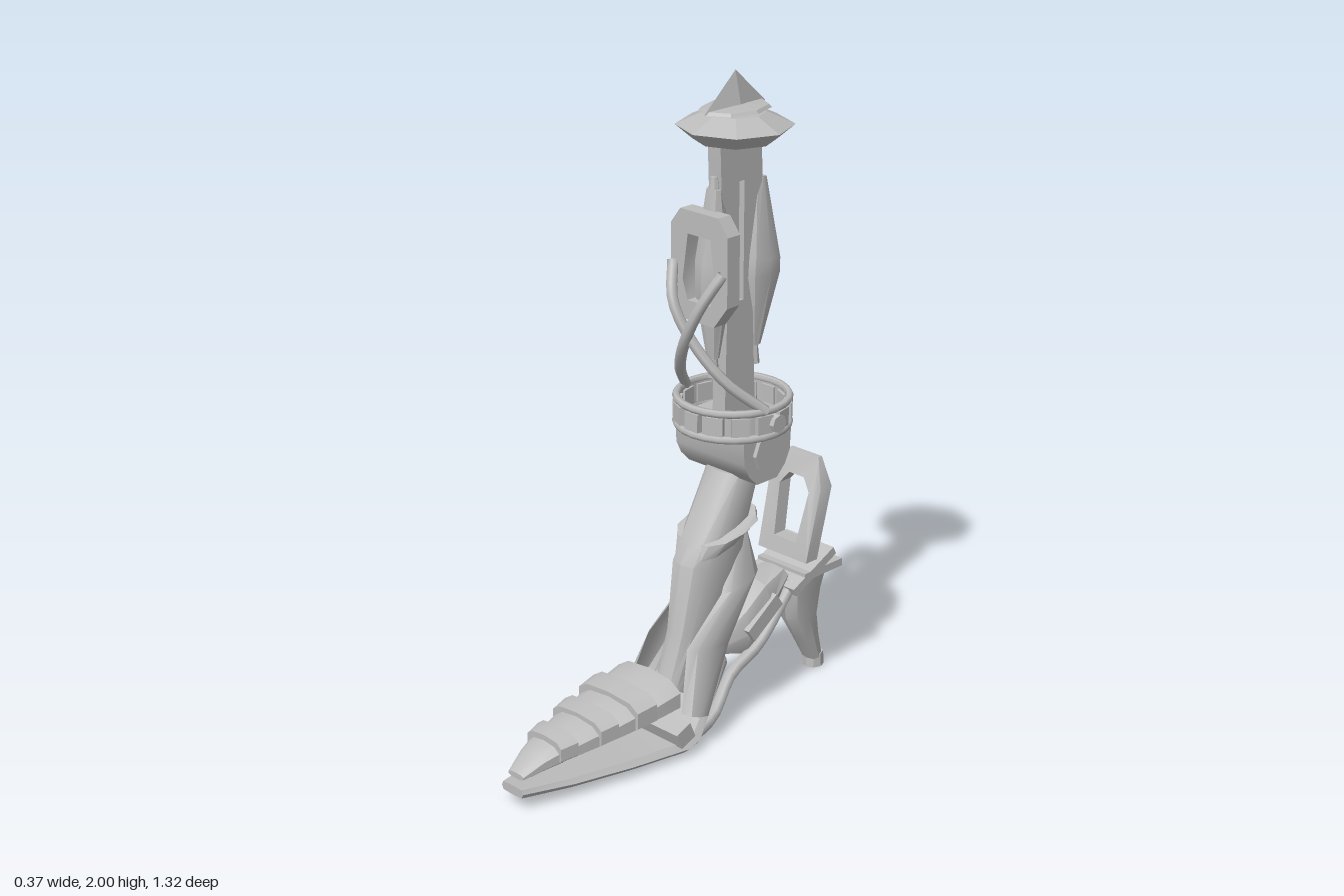
import * as THREE from 'three';
import { toCreasedNormals } from 'three/addons/utils/BufferGeometryUtils.js';

const grey = new THREE.MeshStandardMaterial({ color: 0xbcbcbc, side: THREE.DoubleSide });
grey.name = 'plain grey';

export function createModel() {
  const model = new THREE.Group();
  model.name = 'mechanicalLeg';

  const add = (name, geo, x = 0, y = 0, z = 0, crease = 0.6) => {
    const m = new THREE.Mesh(toCreasedNormals(geo, crease), grey);
    m.name = name;
    m.position.set(x, y, z);
    model.add(m);
    return m;
  };

  // Skin over rows [z1, y1, z2, y2, halfWidth]; e: 1 = round, near 0 = boxy; arc < 1 leaves the first edge open
  const loft = (name, rows, { n = 10, e = 0.8, arc = 1 } = {}) => {
    const pos = [], idx = [], open = arc < 1, cols = open ? n + 1 : n;
    const pw = v => (Math.abs(v) < 1e-6 ? 0 : Math.sign(v) * Math.pow(Math.abs(v), e));
    for (const [z1, y1, z2, y2, w] of rows) {
      for (let i = 0; i < cols; i++) {
        const a = Math.PI * (1 - arc) + (i / n) * Math.PI * 2 * arc;
        const c = pw(Math.cos(a)), s = pw(Math.sin(a));
        pos.push(s * w, (y1 + y2) / 2 + c * (y1 - y2) / 2, (z1 + z2) / 2 + c * (z1 - z2) / 2);
      }
    }
    for (let r = 0; r < rows.length - 1; r++) {
      for (let i = 0; i < n; i++) {
        const j = (i + 1) % cols, a = r * cols, b = a + cols;
        idx.push(a + i, b + i, a + j, a + j, b + i, b + j);
      }
    }
    if (!open) {
      const last = (rows.length - 1) * cols;
      for (let i = 1; i < n - 1; i++) idx.push(0, i, i + 1, last, last + i + 1, last + i);
    }
    // Turn the faces outward when the rows run the other way
    let vol = 0;
    const v = k => new THREE.Vector3().fromArray(pos, idx[k] * 3);
    for (let k = 0; k < idx.length; k += 3) vol += v(k).dot(v(k + 1).cross(v(k + 2)));
    if (vol < 0) idx.reverse();
    const g = new THREE.BufferGeometry();
    g.setAttribute('position', new THREE.Float32BufferAttribute(pos, 3));
    g.setIndex(idx);
    return add(name, g);
  };

  const outline = pts => new THREE.Shape(pts.map(p => new THREE.Vector2(...p)));
  const extrude = (shape, depth) =>
    new THREE.ExtrudeGeometry(shape, { depth, bevelEnabled: false }).translate(0, 0, -depth / 2);
  // Side outline in [z, y], given thickness along x
  const sidePlate = (shape, width) => extrude(shape, width).rotateY(-Math.PI / 2);
  const tube = (name, pts, r) => add(name, new THREE.TubeGeometry(
    new THREE.CatmullRomCurve3(pts.map(p => new THREE.Vector3(...p))), 16, r, 6), 0, 0, 0, 1.1);
  const box = (name, w, h, d, x, y, z) => add(name, new THREE.BoxGeometry(w, h, d), x, y, z);

  const AX = -0.24; // z of the upright axis

  // Crown on top
  const lathe = pts => new THREE.LatheGeometry(pts.map(p => new THREE.Vector2(...p)), 8);
  add('crownDisc', lathe([[0, 1.8], [0.12, 1.8], [0.172, 1.843], [0.09, 1.88], [0, 1.885]]), 0, 0, AX, 0.2);
  add('crownPlate', lathe([[0, 1.875], [0.12, 1.888], [0.11, 1.897], [0, 1.905]]), 0, 0, AX, 0.2).scale.x = 0.75;
  add('crownFin', new THREE.ConeGeometry(0.125, 0.11, 4), 0, 1.945, AX, 0.2).scale.x = 0.2;

  // Flat slotted shaft
  const shaft = outline([[-0.155, 1.8], [-0.16, 1.68], [-0.19, 1.4], [-0.18, 0.95],
    [-0.31, 0.95], [-0.29, 1.4], [-0.33, 1.68], [-0.325, 1.8]]);
  shaft.holes.push(outline([[-0.23, 1.32], [-0.235, 1.68], [-0.255, 1.68], [-0.255, 1.32]]));
  add('shaft', sidePlate(shaft, 0.05));

  // Calf pods with small pistons at both ends
  loft('frontCalfPod', [[-0.14, 1.67, -0.175, 1.67, 0.025], [-0.105, 1.45, -0.205, 1.48, 0.05],
    [-0.105, 1.36, -0.21, 1.4, 0.05], [-0.14, 1.16, -0.17, 1.16, 0.02]], { n: 8 });
  loft('rearCalfPod', [[-0.31, 1.68, -0.36, 1.67, 0.025], [-0.27, 1.45, -0.405, 1.42, 0.06],
    [-0.265, 1.38, -0.405, 1.38, 0.06], [-0.31, 1.16, -0.345, 1.16, 0.02]], { n: 8 });
  for (const z of [-0.157, -0.328]) {
    add('pistonFoot', new THREE.CylinderGeometry(0.012, 0.018, 0.06, 8), 0, 1.13, z);
    add('pistonHead', new THREE.CylinderGeometry(0.012, 0.018, 0.04, 8), 0, 1.685, z);
  }

  // Open octagonal frame in front of the calf
  const frame = outline([[-0.075, 1.61], [0.075, 1.61], [0.113, 1.56], [0.113, 1.35],
    [0.06, 1.28], [-0.06, 1.28], [-0.113, 1.35], [-0.113, 1.56]]);
  frame.holes.push(outline([[-0.045, 1.54], [-0.065, 1.4], [-0.045, 1.34], [0.045, 1.34], [0.065, 1.4], [0.045, 1.54]]));
  add('calfFrame', extrude(frame, 0.05), 0, 0, -0.12);

  // Crossed straps
  for (const s of [-1, 1]) {
    tube('crossStrap', [[s * 0.1, 1.45, -0.09], [s * 0.055, 1.35, -0.045], [0, 1.245, -0.05 + s * 0.008],
      [-s * 0.09, 1.12, -0.11], [-s * 0.165, 1.02, -0.21]], 0.017);
  }

  // Ankle collar: band, rims and links
  add('collarBand', new THREE.CylinderGeometry(0.16, 0.16, 0.09, 24, 1, true), 0, 0.985, AX);
  for (const y of [0.942, 1.022]) {
    add('collarRim', new THREE.TorusGeometry(0.168, 0.012, 6, 24).rotateX(Math.PI / 2), 0, y, AX, 1.1);
  }
  for (let i = 0; i < 14; i++) {
    const a = (i / 14) * Math.PI * 2;
    const link = box('collarLink', 0.052, 0.056, 0.026, Math.sin(a) * 0.163, 0.982, AX + Math.cos(a) * 0.163);
    link.rotation.y = a;
  }
  add('collarKnob', new THREE.CylinderGeometry(0.028, 0.028, 0.04, 8).rotateZ(Math.PI / 2), 0.17, 0.98, AX);

  // Ankle joint with side hubs
  add('ankleJoint', sidePlate(outline([[-0.14, 0.95], [-0.145, 0.86], [-0.165, 0.82], [-0.2, 0.785],
    [-0.285, 0.785], [-0.32, 0.82], [-0.34, 0.86], [-0.345, 0.95]]), 0.28));
  for (const s of [-1, 1]) {
    add('ankleHub', new THREE.CylinderGeometry(0.06, 0.06, 0.02, 8).rotateZ(Math.PI / 2), s * 0.143, 0.88, AX);
  }

  // Lower shin, its wrap and the open-fronted heel guard
  loft('shin', [[-0.17, 0.8, -0.32, 0.79, 0.075], [-0.07, 0.62, -0.27, 0.63, 0.08],
    [-0.02, 0.54, -0.25, 0.48, 0.075], [0.01, 0.33, -0.13, 0.27, 0.055], [0.06, 0.17, -0.03, 0.12, 0.05]], { n: 12 });
  loft('shinWrap', [[-0.13, 0.625, -0.295, 0.67, 0.09], [-0.06, 0.6, -0.295, 0.655, 0.113],
    [-0.04, 0.55, -0.275, 0.63, 0.09]], { n: 12 });
  loft('heelGuard', [[-0.2, 0.6, -0.262, 0.6, 0.06], [-0.11, 0.43, -0.295, 0.47, 0.095],
    [0.05, 0.31, -0.16, 0.27, 0.11], [0.1, 0.13, -0.02, 0.095, 0.155]], { n: 12, e: 0.65, arc: 0.78 });

  // Sole and rising shank
  loft('sole', [[0.66, 0.07, 0.66, 0.04, 0.045], [0.5, 0.062, 0.5, 0.03, 0.092], [0.3, 0.055, 0.3, 0.018, 0.13],
    [0.1, 0.05, 0.1, 0.008, 0.158], [0.05, 0.055, 0.03, 0.01, 0.145], [-0.03, 0.11, -0.04, 0.06, 0.11],
    [-0.16, 0.22, -0.18, 0.17, 0.05]], { n: 8, e: 0.4 });
  const hinge = box('ballHinge', 0.32, 0.055, 0.06, 0, 0.08, 0.115);
  hinge.rotation.x = 0.4;

  // Overlapping toe plates with raised bands between them
  const toeTop = z => (z < 0.55 ? 0.25 - (z - 0.12) * 0.18 : 0.173 - (z - 0.55) * 0.6);
  const toeBase = z => 0.125 - (z - 0.12) * 0.075;
  const toeWidth = z => 0.14 - Math.pow((z - 0.11) / 0.54, 1.6) * 0.105;
  const toeRow = (z, k) => [z, toeTop(z) * k, z, toeBase(z), toeWidth(z) * k];
  for (const z of [0.11, 0.245, 0.38, 0.51]) {
    loft('toePlate', [toeRow(z, 0.98), toeRow(z + 0.07, 0.96), toeRow(z + 0.135, 0.9)]);
  }
  for (const [z, d] of [[0.21, 0.07], [0.345, 0.06], [0.48, 0.055]]) {
    const band = t => [t, toeTop(t) + 0.008, t, toeBase(t) + 0.01, toeWidth(t) + 0.006];
    loft('toeBand', [band(z), band(z + d)], { e: 0.65 });
  }

  // Arch damper, side panels and linking rods
  loft('archPod', [[-0.17, 0.27, -0.16, 0.2, 0.045], [-0.24, 0.35, -0.25, 0.17, 0.08],
    [-0.32, 0.41, -0.35, 0.25, 0.085], [-0.43, 0.41, -0.455, 0.36, 0.05]], { n: 8, e: 0.7 });
  for (const s of [-1, 1]) {
    const panel = box('archPanel', 0.02, 0.05, 0.15, s * 0.08, 0.3, -0.3);
    panel.rotation.x = 0.6;
    tube('archRod', [[s * 0.12, 0.03, 0.08], [s * 0.1, 0.06, -0.06], [s * 0.07, 0.15, -0.17],
      [s * 0.07, 0.21, -0.29], [s * 0.06, 0.36, -0.45]], 0.02);
  }

  // Heel: bracket, cap, curved stem and tip
  const bracket = box('heelBracket', 0.2, 0.028, 0.2, 0, 0.39, -0.51);
  bracket.rotation.x = 0.45;
  box('heelCap', 0.2, 0.025, 0.17, 0, 0.383, -0.55);
  loft('heelCapEnd', [[-0.63, 0.396, -0.63, 0.37, 0.09], [-0.652, 0.394, -0.652, 0.372, 0.03]], { n: 8 });
  loft('heelStem', [[-0.465, 0.375, -0.63, 0.375, 0.08], [-0.475, 0.3, -0.615, 0.29, 0.06],
    [-0.49, 0.2, -0.605, 0.2, 0.05], [-0.545, 0.11, -0.62, 0.12, 0.04], [-0.59, 0.03, -0.645, 0.03, 0.03]], { n: 8 });
  add('heelTip', new THREE.CylinderGeometry(0.032, 0.034, 0.045, 8), 0, 0.0225, -0.622);

  // Leaning pull loop above the heel
  const loop = outline([[-0.1, 0.43], [-0.105, 0.66], [-0.06, 0.745], [0.06, 0.745], [0.105, 0.66], [0.1, 0.43]]);
  loop.holes.push(outline([[-0.045, 0.48], [0.045, 0.48], [0.06, 0.64], [0.03, 0.68], [-0.03, 0.68], [-0.06, 0.64]]));
  const loopGeo = extrude(loop, 0.05);
  const p = loopGeo.attributes.position;
  for (let i = 0; i < p.count; i++) {
    const y = p.getY(i), thin = y > 0.7 ? 0.3 : 1;
    p.setZ(i, p.getZ(i) * thin - 0.492 - (y - 0.43) * 0.24);
  }
  add('heelLoop', loopGeo);

  return model;
}
